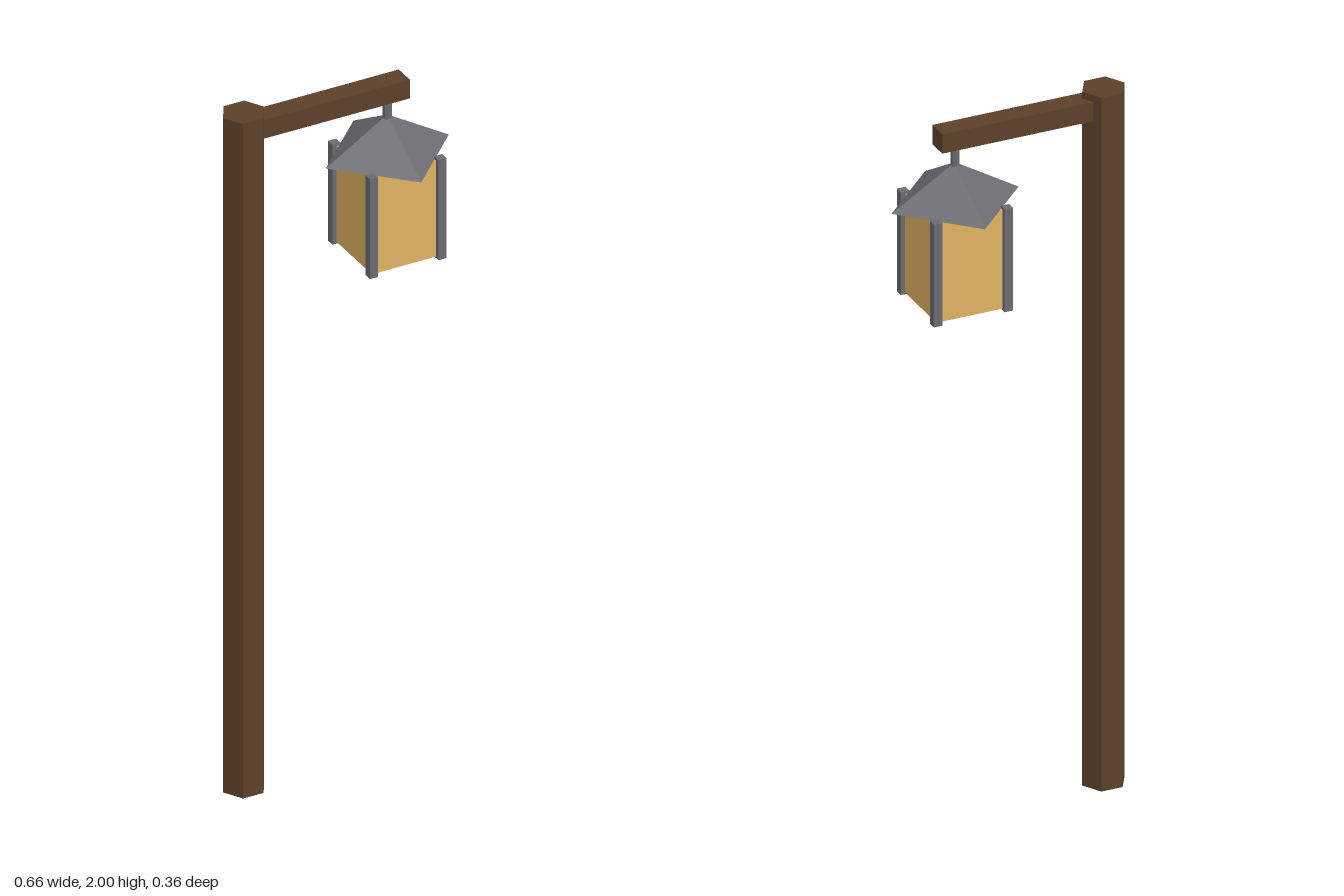
import * as THREE from 'three';

const WOOD = new THREE.MeshStandardMaterial({ color: 0x5c4029, flatShading: true });
const METAL = new THREE.MeshStandardMaterial({ color: 0x6b6c72, flatShading: true });
const GLASS = new THREE.MeshStandardMaterial({ color: 0xe0b262, flatShading: true });

function add(parent, name, geometry, material, x, y, z = 0) {
  const mesh = new THREE.Mesh(geometry, material);
  mesh.name = name;
  mesh.position.set(x, y, z);
  parent.add(mesh);
  return mesh;
}

export function createModel() {
  const model = new THREE.Group();
  model.name = 'lampPost';

  // Hexagonal post with corners toward +x and -x
  const post = add(model, 'post', new THREE.CylinderGeometry(0.06, 0.06, 2, 6), WOOD, -0.27, 1);
  post.rotation.y = Math.PI / 2;

  // Arm reaching out from inside the post
  add(model, 'arm', new THREE.BoxGeometry(0.45, 0.055, 0.06), WOOD, -0.025, 1.9525);

  // Hanging lantern
  const lantern = new THREE.Group();
  lantern.name = 'lantern';
  lantern.position.x = 0.15;
  model.add(lantern);

  add(lantern, 'hanger', new THREE.CylinderGeometry(0.012, 0.012, 0.08, 6), METAL, 0, 1.9);
  // Four-sided roof, its corners over the middles of the panes
  add(lantern, 'roof', new THREE.ConeGeometry(0.18, 0.11, 4), METAL, 0, 1.821);
  add(lantern, 'glass', new THREE.BoxGeometry(0.2, 0.284, 0.2), GLASS, 0, 1.623);

  // Corner bars
  for (const x of [-0.1, 0.1]) {
    for (const z of [-0.1, 0.1]) {
      add(lantern, 'cornerBar', new THREE.BoxGeometry(0.024, 0.296, 0.024), METAL, x, 1.624, z);
    }
  }
  return model;
}
